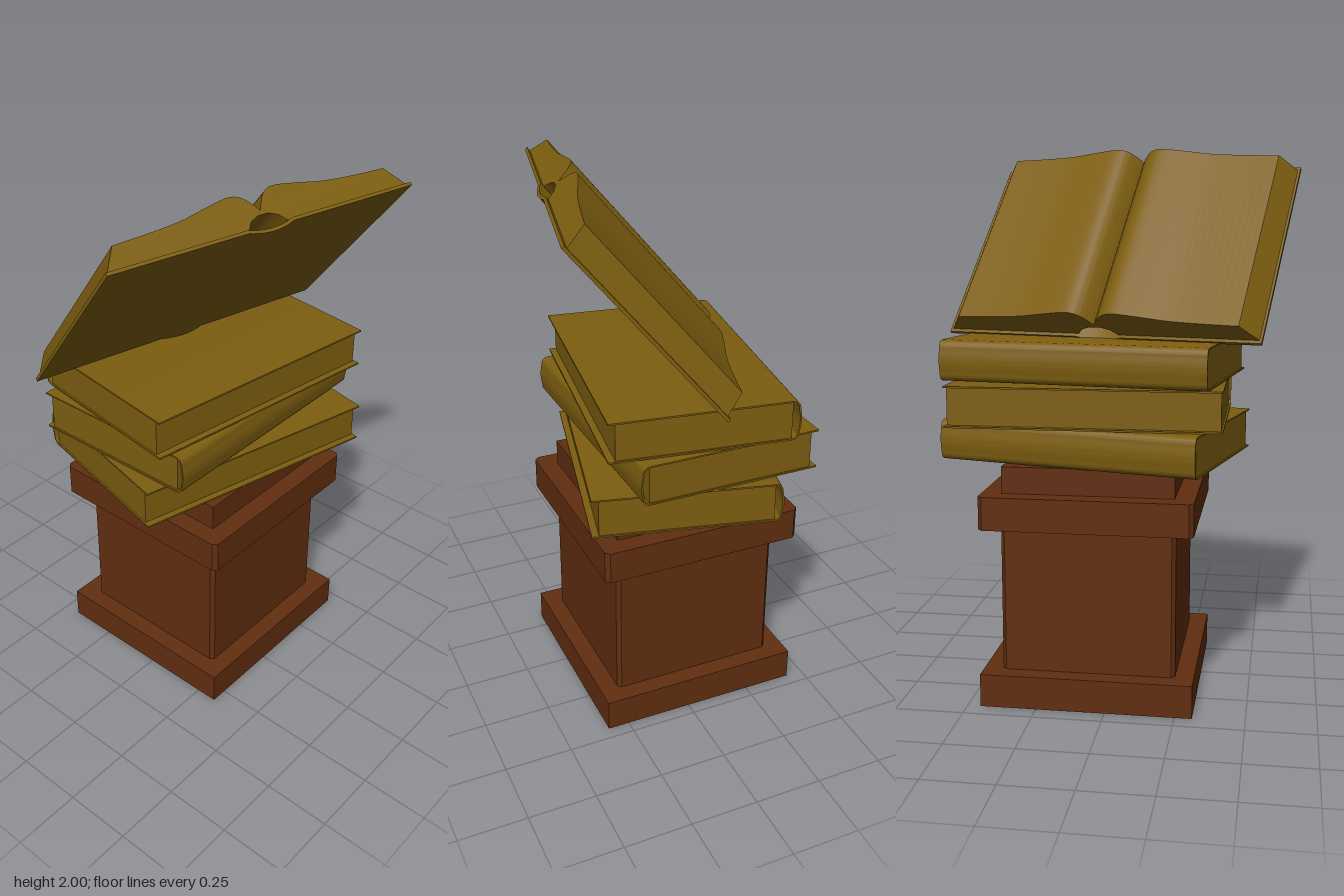
import * as THREE from 'three';
import { toCreasedNormals } from 'three/addons/utils/BufferGeometryUtils.js';

const gold = new THREE.MeshStandardMaterial({ color: 0x7d5e10, side: THREE.DoubleSide });
const brown = new THREE.MeshStandardMaterial({ color: 0x612e10 });

function mesh(name, geometry, material, parent) {
  const m = new THREE.Mesh(geometry, material);
  m.name = name;
  parent.add(m);
  return m;
}

// Extrude a profile along z, centred, with smooth curves and sharp edges
function extrude(shape, depth, curveSegments = 12) {
  const g = new THREE.ExtrudeGeometry(shape, { depth, curveSegments, bevelEnabled: false });
  g.translate(0, 0, -depth / 2);
  return toCreasedNormals(g, 0.6);
}

// Square block with chamfered vertical corners, from y0 to y1
function block(half, chamfer, y0, y1) {
  const c = half - chamfer;
  const pts = [[half, -c], [half, c], [c, half], [-c, half], [-half, c], [-half, -c], [-c, -half], [c, -half]];
  const g = extrude(new THREE.Shape(pts.map(p => new THREE.Vector2(...p))), y1 - y0);
  return g.rotateX(-Math.PI / 2).translate(0, (y0 + y1) / 2, 0);
}

function createPedestal() {
  const g = new THREE.Group();
  g.name = 'pedestal';
  const base = mesh('base', new THREE.BoxGeometry(0.765, 0.12, 0.765), brown, g);
  base.position.y = 0.06;
  mesh('column', block(0.315, 0.014, 0.12, 0.66), brown, g);
  mesh('cap', block(0.382, 0.016, 0.655, 0.775), brown, g);
  const neck = mesh('neck', new THREE.BoxGeometry(0.62, 0.1, 0.62), brown, g);
  neck.position.y = 0.822;
  g.position.set(0.07, 0, -0.052);
  return g;
}

// Closed book: thin wrap-around cover with a hollow rounded spine at local -z
function createClosedBook(name) {
  const L = 0.975, D = 0.67, h = 0.0735, t = 0.006;
  const g = new THREE.Group();
  g.name = name;
  const fore = D / 2, s = -D / 2 + 0.035, r = 0.03, k = 0.035;
  const shape = new THREE.Shape();
  shape.moveTo(fore, h);
  shape.lineTo(s, h);
  shape.quadraticCurveTo(s - r, h, s - r, h - k);
  shape.quadraticCurveTo(s - r - 0.01, 0, s - r, k - h);
  shape.quadraticCurveTo(s - r, -h, s, -h);
  shape.lineTo(fore, -h);
  shape.lineTo(fore, t - h);
  shape.lineTo(s, t - h);
  shape.quadraticCurveTo(s - r + t, t - h, s - r + t, k - h);
  shape.quadraticCurveTo(s - r - 0.01 + t, 0, s - r + t, h - k);
  shape.quadraticCurveTo(s - r + t, h - t, s, h - t);
  shape.lineTo(fore, h - t);
  mesh('cover', extrude(shape, L).rotateY(-Math.PI / 2), gold, g);
  const back = s - 0.004, front = fore - 0.025;
  const pages = mesh('pages', new THREE.BoxGeometry(L - 0.012, 2 * (h - t), front - back), gold, g);
  pages.position.z = (front + back) / 2;
  return g;
}

// Open book: local x across the spread, y out of the pages, z along the spine
function createOpenBook() {
  const g = new THREE.Group();
  g.name = 'openBook';
  const w = 0.607, t = 0.012, s = 0.09, H = 0.8;

  const cover = new THREE.Shape();
  cover.moveTo(-w, 0);
  cover.lineTo(-s, 0);
  cover.quadraticCurveTo(0, -0.03, s, 0);
  cover.lineTo(w, 0);
  cover.lineTo(w, t);
  cover.lineTo(s, t);
  cover.quadraticCurveTo(0, t - 0.03, -s, t);
  cover.lineTo(-w, t);
  mesh('openCover', extrude(cover, H), gold, g);

  // Page spread, humped on each side of the gutter and arched over the spine
  const hump = [[0.54, 0.092], [0.42, 0.097], [0.29, 0.107], [0.18, 0.127], [0.09, 0.14], [0.045, 0.126], [0.015, 0.092], [0, 0.068]];
  const right = hump.map(([x, y]) => new THREE.Vector2(x, y));
  const left = hump.map(([x, y]) => new THREE.Vector2(-x, y)).reverse();
  const pages = new THREE.Shape();
  pages.moveTo(-0.598, t);
  pages.lineTo(-0.078, t);
  pages.bezierCurveTo(-0.05, 0.07, 0.05, 0.07, 0.078, t);
  pages.lineTo(0.598, t);
  pages.lineTo(0.54, 0.092);
  pages.splineThru(right.slice(1));
  pages.splineThru(left.slice(1));
  mesh('openPages', extrude(pages, H - 0.026, 5), gold, g);

  // Lean the book with its far edge raised toward the front
  const across = new THREE.Vector3(1.18, 0, 0.285).normalize();
  const along = new THREE.Vector3(-0.15, 0.763, 0.631).normalize();
  const out = new THREE.Vector3().crossVectors(along, across).normalize();
  along.crossVectors(across, out);
  g.quaternion.setFromRotationMatrix(new THREE.Matrix4().makeBasis(across, out, along));
  g.position.set(0, 1.615, 0.09);
  return g;
}

export function createModel() {
  const model = new THREE.Group();
  model.name = 'bookPedestal';
  model.add(createPedestal());

  // Stack of closed books: name, x, y, z, turn
  const stack = [
    ['bottomBook', 0.077, 0.943, -0.051, -0.237],
    ['middleBook', 0.085, 1.09, -0.08, Math.PI + 0.008],
    ['topBook', 0.08, 1.24, -0.06, -0.145],
  ];
  for (const [name, x, y, z, turn] of stack) {
    const book = createClosedBook(name);
    book.position.set(x, y, z);
    book.rotation.y = turn;
    model.add(book);
  }
  model.add(createOpenBook());
  return model;
}
